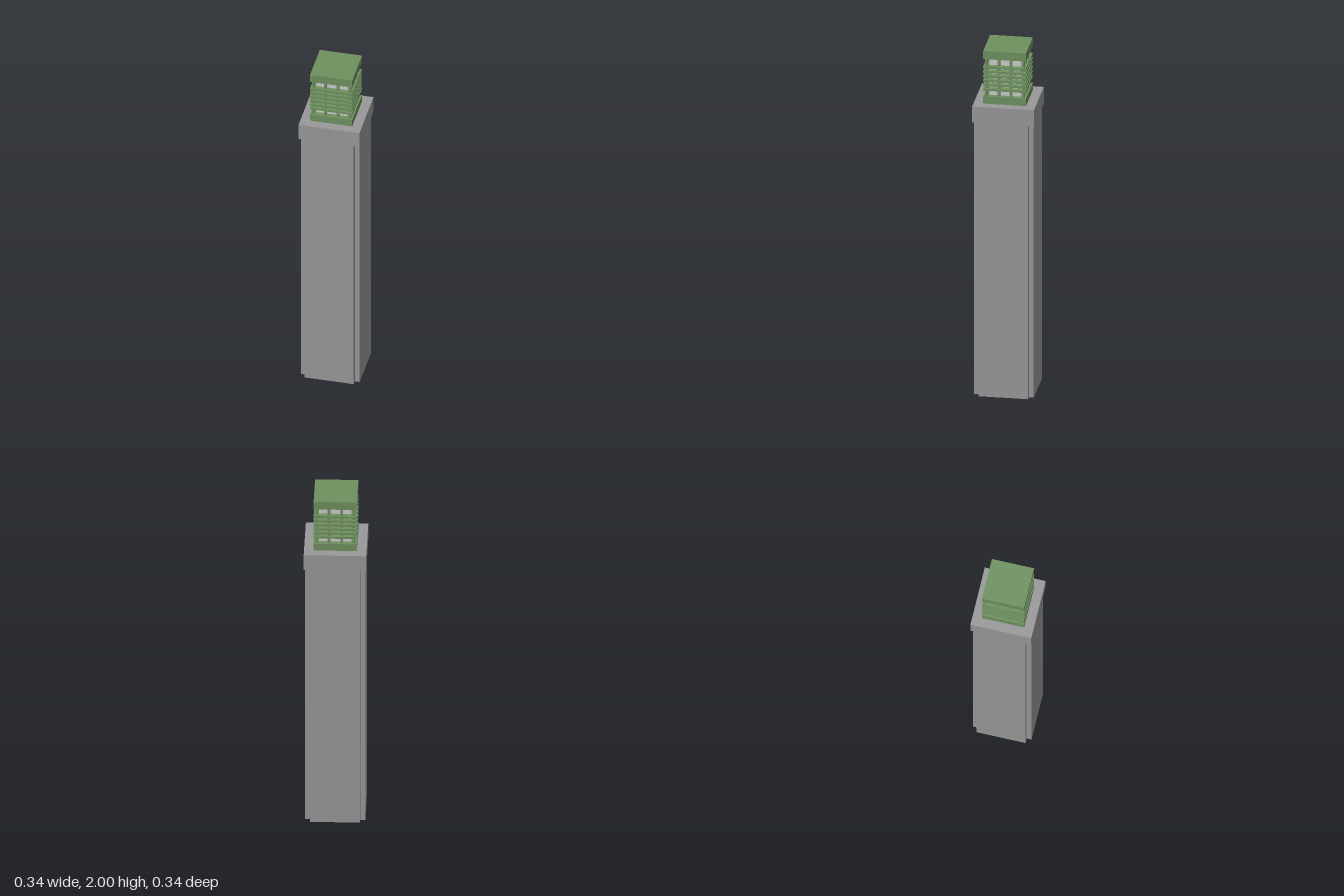
import * as THREE from 'three';

export function createModel() {
  const model = new THREE.Group();
  const stone = new THREE.MeshStandardMaterial({ color: 0x999999, side: THREE.DoubleSide });
  stone.name = 'grey stone';
  const green = new THREE.MeshStandardMaterial({ color: 0x6f9160 });
  green.name = 'green metal';
  const pane = new THREE.MeshStandardMaterial({ color: 0xcccccc });
  pane.name = 'pale pane';

  const add = (parent, name, geometry, material, x = 0, y = 0, z = 0) => {
    const mesh = new THREE.Mesh(geometry, material);
    mesh.name = name;
    mesh.position.set(x, y, z);
    parent.add(mesh);
    return mesh;
  };
  // Box given by its width, bottom and top, square in plan
  const block = (parent, name, width, bottom, top, material) =>
    add(parent, name, new THREE.BoxGeometry(width, top - bottom, width), material, 0, (bottom + top) / 2, 0);

  // Hollow shaft, open below, with a small square notch along each corner
  const a = 0.163, b = 0.136, height = 1.6;
  const corner = [[a, b], [b, b], [b, a]];
  const outline = [];
  for (let i = 0; i < 4; i++) {
    for (const [x, z] of corner) {
      const p = new THREE.Vector2(x, z).rotateAround(new THREE.Vector2(), i * Math.PI / 2);
      outline.push(p);
    }
  }
  const positions = [];
  outline.forEach((p, i) => {
    const q = outline[(i + 1) % outline.length];
    positions.push(p.x, 0, p.y, p.x, height, p.y, q.x, height, q.y);
    positions.push(p.x, 0, p.y, q.x, height, q.y, q.x, 0, q.y);
  });
  const shaft = new THREE.BufferGeometry();
  shaft.setAttribute('position', new THREE.Float32BufferAttribute(positions, 3));
  shaft.computeVertexNormals();
  add(model, 'shaft', shaft, stone);

  // Cap slab
  block(model, 'capSlab', 0.338, 1.6, 1.693, stone);

  // Louvred head
  const head = new THREE.Group();
  head.name = 'louvredHead';
  model.add(head);
  block(head, 'headBase', 0.234, 1.693, 1.735, green);
  block(head, 'headRoof', 0.234, 1.953, 2, green);
  block(head, 'innerCore', 0.176, 1.735, 1.953, pane);

  for (let side = 0; side < 4; side++) {
    const face = new THREE.Group();
    face.name = 'louvreFace' + (side + 1);
    face.rotation.y = side * Math.PI / 2;
    head.add(face);
    // Upright bars; the end bar is shared with the next face
    for (const x of [-0.101, -0.034, 0.034]) {
      add(face, 'uprightBar', new THREE.BoxGeometry(0.014, 0.218, 0.014), green, x, 1.844, 0.101);
    }
    // Slats, each face running from one corner to the next face
    for (let i = 0; i < 6; i++) {
      add(face, 'slat', new THREE.BoxGeometry(0.206, 0.012, 0.028), green, -0.014, 1.775 + i * 0.0258, 0.103);
    }
  }
  return model;
}
